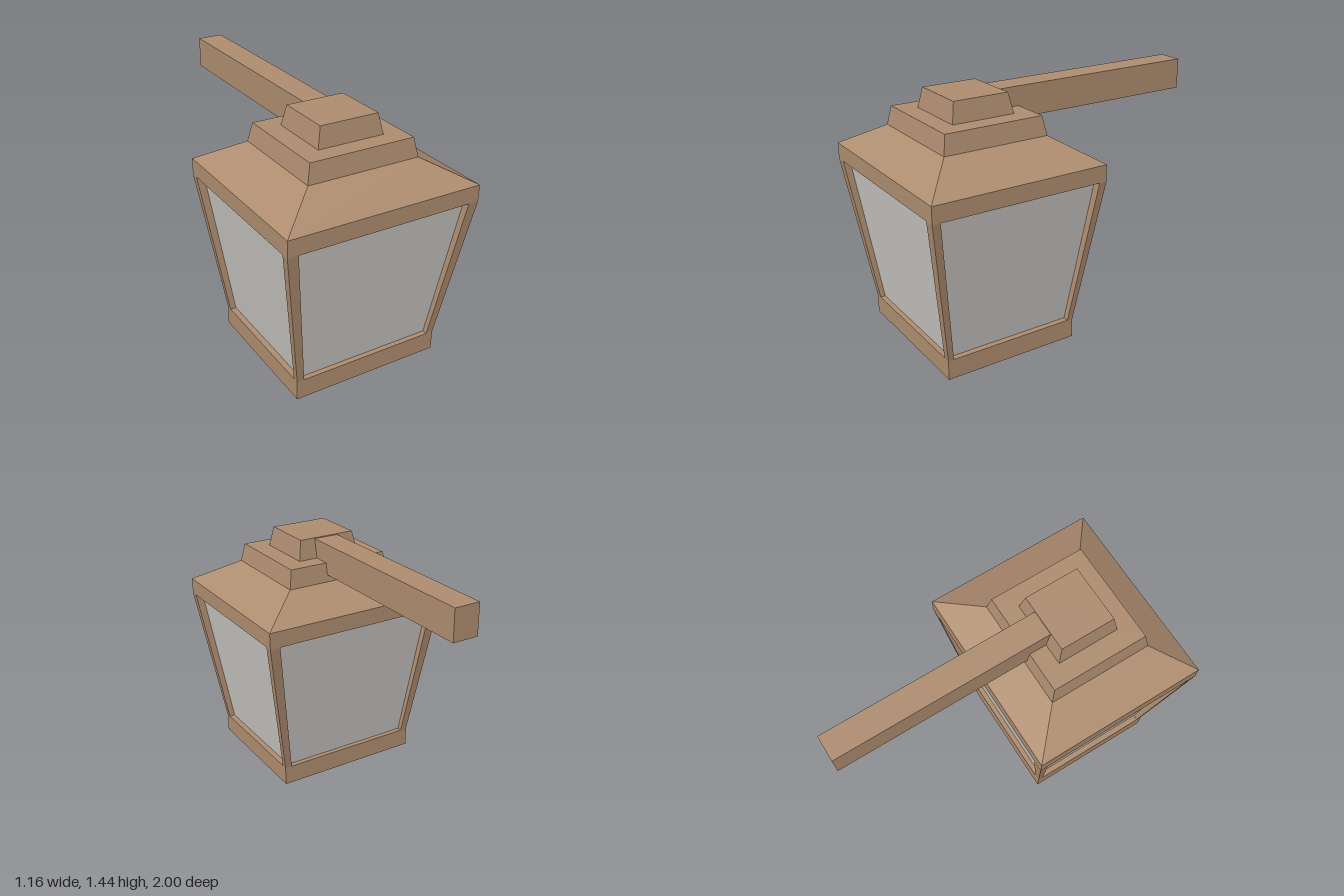
import * as THREE from 'three';

const wood = new THREE.MeshStandardMaterial({ color: 0xae8d70 });
wood.name = 'brown wood';
const glass = new THREE.MeshStandardMaterial({ color: 0xcac8c4 });
glass.name = 'pale glass';

// Block between a lower and an upper rectangle, each [x0, x1, z0, z1]
function taper(name, y0, y1, low, high, material = wood) {
  const g = new THREE.BoxGeometry(1, 1, 1).toNonIndexed();
  const p = g.attributes.position;
  for (let i = 0; i < p.count; i++) {
    const top = p.getY(i) > 0;
    const r = top ? high : low;
    p.setXYZ(i, p.getX(i) < 0 ? r[0] : r[1], top ? y1 : y0, p.getZ(i) < 0 ? r[2] : r[3]);
  }
  g.computeVertexNormals();
  const mesh = new THREE.Mesh(g, material);
  mesh.name = name;
  return mesh;
}

export function createModel() {
  const group = new THREE.Group();
  group.name = 'wallLantern';

  const foot = [-0.452, 0.452, 0.065, 0.88];
  const eave = [-0.582, 0.58, -0.055, 1];
  const yFoot = 0.115, yEave = 0.983;

  // Base tray and rim
  group.add(taper('base', 0, yFoot, foot, foot));
  group.add(taper('rim', yEave, 1.08, eave, eave));

  // Recessed glass body
  const inset = (r, x, z) => [r[0] + x, r[1] - x, r[2] + z, r[3] - z];
  group.add(taper('glassPanes', yFoot, yEave, inset(foot, 0.035, 0.03), inset(eave, 0.045, 0.04), glass));

  // Leaning corner posts
  const corner = (r, sx, sz, w, d) => [
    sx < 0 ? r[0] : r[1] - w, sx < 0 ? r[0] + w : r[1],
    sz < 0 ? r[2] : r[3] - d, sz < 0 ? r[2] + d : r[3],
  ];
  for (const sx of [-1, 1]) {
    for (const sz of [-1, 1]) {
      group.add(taper('cornerPost', yFoot, yEave,
        corner(foot, sx, sz, 0.043, 0.034), corner(eave, sx, sz, 0.062, 0.046)));
    }
  }

  // Sloped roof and two stacked caps
  group.add(taper('roof', 1.08, 1.215, eave, [-0.345, 0.328, 0.16, 0.79]));
  group.add(taper('lowerCap', 1.215, 1.325, [-0.345, 0.328, 0.16, 0.79], [-0.323, 0.306, 0.18, 0.77]));
  group.add(taper('upperCap', 1.325, 1.443, [-0.208, 0.191, 0.285, 0.662], [-0.185, 0.168, 0.308, 0.64]));

  // Mounting arm reaching back to the wall
  const arm = [-0.08, 0.074, -1, 0.32];
  group.add(taper('mountingArm', 1.255, 1.438, arm, arm));

  return group;
}
